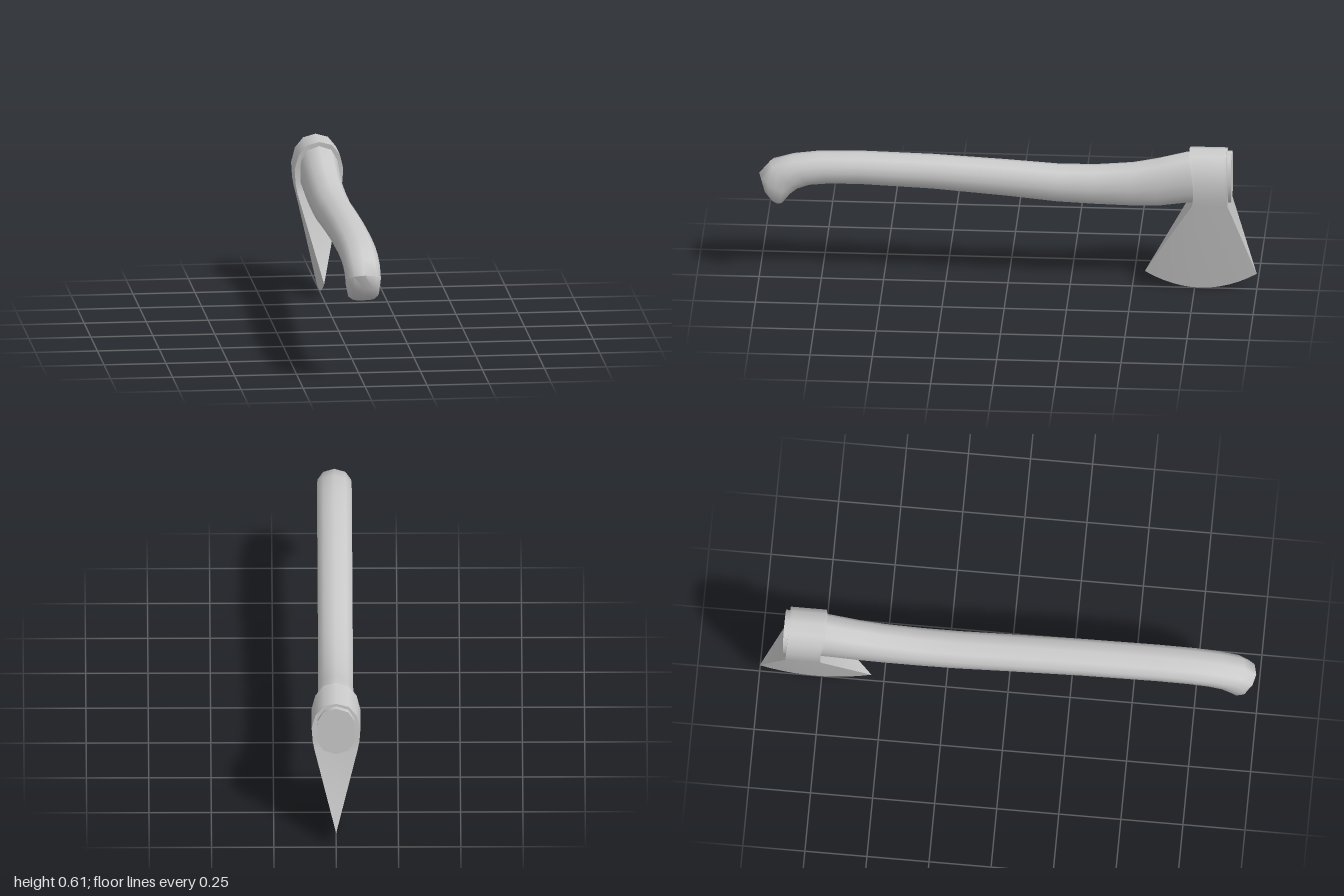
import * as THREE from 'three';
import { toCreasedNormals } from 'three/addons/utils/BufferGeometryUtils.js';

const material = new THREE.MeshStandardMaterial({ color: 0xcccccc });
const lerp = THREE.MathUtils.lerp;

// Skins mirrored rings (top, down the +x side, bottom, up the -x side) ordered front to back.
function loft(rings, crease) {
  const n = rings[0].length, index = [];
  const tri = (a, b, c) => { if (a !== b && b !== c && a !== c) index.push(a, b, c); };
  for (let j = 0; j < rings.length - 1; j++) {
    for (let i = 0; i < n; i++) {
      const k = (i + 1) % n;
      const a = j * n + i, b = j * n + k, c = a + n, d = b + n;
      tri(a, b, c);
      tri(b, d, c);
    }
  }
  // End caps, as strips between the two mirrored sides
  const back = (rings.length - 1) * n;
  for (let i = 0; i < n / 2; i++) {
    const l0 = (n - i) % n, l1 = n - i - 1;
    tri(i, l0, l1);
    tri(i, l1, i + 1);
    tri(back + i, back + l1, back + l0);
    tri(back + i, back + i + 1, back + l1);
  }
  const geometry = new THREE.BufferGeometry();
  geometry.setAttribute('position', new THREE.Float32BufferAttribute(rings.flat(2), 3));
  geometry.setIndex(index);
  return toCreasedNormals(geometry, crease);
}

// Completes a half ring (top to bottom on +x) with its mirror image
function mirrorRing(half) {
  const other = half.slice(1, -1).reverse().map(([x, y, z]) => [-x, y, z]);
  return [...half, ...other];
}

function createHandle() {
  // Each section: top z, top y, bottom z, bottom y, half width
  const sections = [
    [0.96, 0.366, 0.912, 0.338, 0.045],
    [0.982, 0.4, 0.9, 0.342, 0.062],
    [1.0, 0.46, 0.865, 0.383, 0.07],
    [0.955, 0.515, 0.835, 0.406, 0.07],
    [0.87, 0.54, 0.79, 0.423, 0.07],
    [0.76, 0.555, 0.72, 0.43, 0.07],
    [0.6, 0.559, 0.6, 0.432, 0.07],
    [0.3, 0.553, 0.3, 0.419, 0.07],
    [0, 0.538, 0, 0.395, 0.07],
    [-0.2, 0.526, -0.2, 0.375, 0.07],
    [-0.35, 0.528, -0.35, 0.368, 0.07],
    [-0.5, 0.543, -0.5, 0.363, 0.07],
    [-0.6, 0.565, -0.6, 0.363, 0.071],
    [-0.72, 0.597, -0.72, 0.38, 0.075],
    [-0.9, 0.605, -0.9, 0.385, 0.077],
  ];
  // Half profile: width factor, fraction from top to bottom
  const profile = [[0, 0], [0.64, 0.08], [0.97, 0.28], [1, 0.5], [0.97, 0.72], [0.64, 0.92], [0, 1]];
  const rings = sections.map(([tz, ty, bz, by, w]) =>
    mirrorRing(profile.map(([x, t]) => [x * w, lerp(ty, by, t), lerp(tz, bz, t)])));
  return loft(rings, 0.95);
}

function createHead() {
  // Rows down the eye: half width, y, front z, back z
  const rows = [
    [0, 0.615, -0.73, -0.88],
    [0.05, 0.601, -0.731, -0.88],
    [0.083, 0.56, -0.738, -0.882],
    [0.098, 0.5, -0.748, -0.885],
    [0.094, 0.44, -0.75, -0.887],
    [0.087, 0.4, -0.745, -0.888],
  ];
  const steps = 12, rings = [];
  for (let j = 0; j <= steps; j++) {
    const t = j / steps;
    const half = rows.map(([x, y, f, b]) => [x, y, lerp(f, b, t)]);
    // Curved cutting edge
    half.push([0, 0.003 + 0.067 * (2 * t - 1) ** 2, lerp(-0.55, -1, t)]);
    rings.push(mirrorRing(half));
  }
  return loft(rings, 0.8);
}

export function createModel() {
  const group = new THREE.Group();
  group.name = 'axe';
  const parts = { handle: createHandle(), axeHead: createHead() };
  for (const [name, geometry] of Object.entries(parts)) {
    const mesh = new THREE.Mesh(geometry, material);
    mesh.name = name;
    group.add(mesh);
  }
  return group;
}
